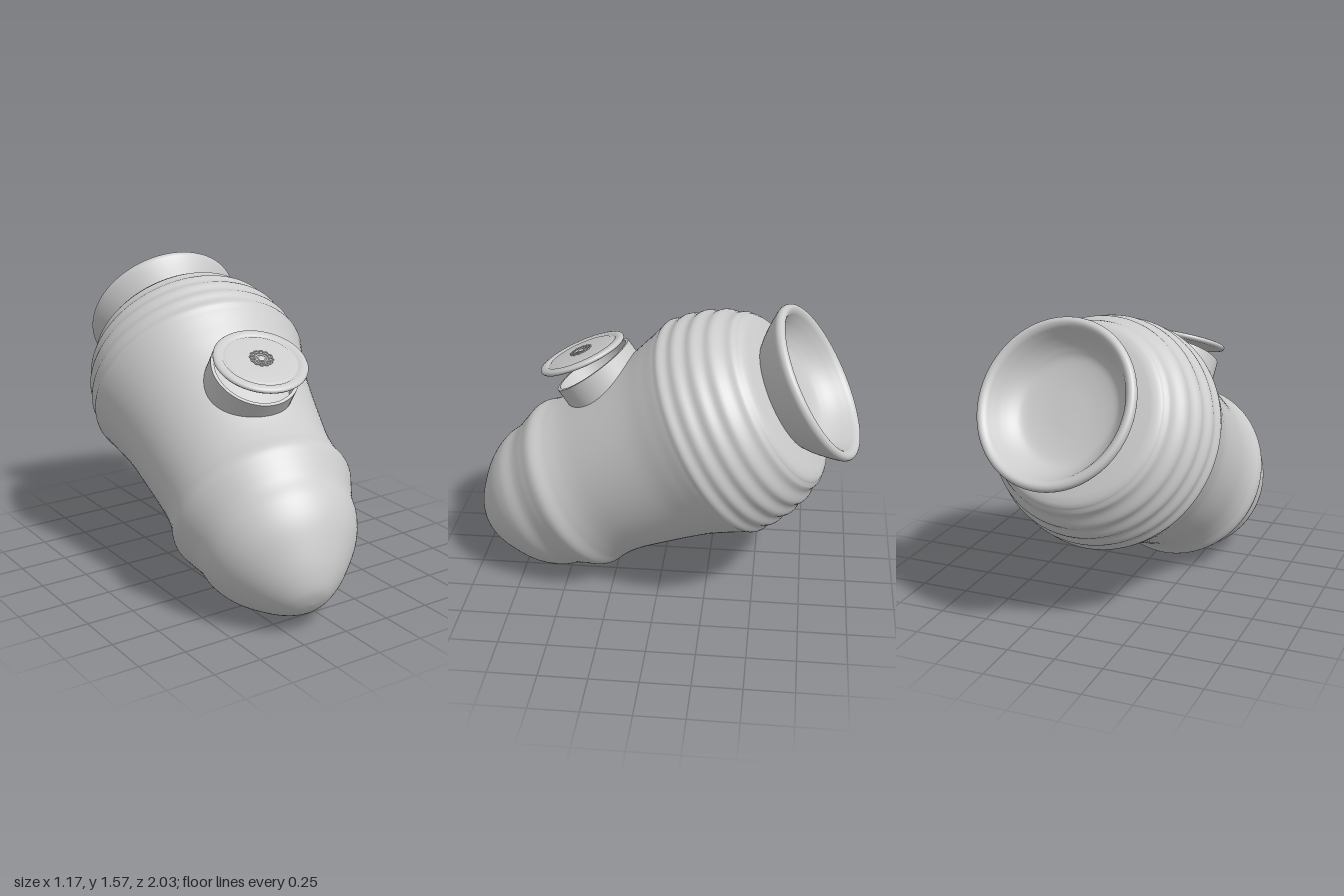
import * as THREE from 'three';

const material = new THREE.MeshStandardMaterial({ color: 0xcccccc });
const UP = new THREE.Vector3(0, 1, 0);

// Profiles are [radius, height] pairs
const toPoints = (pairs) => pairs.map(([r, h]) => new THREE.Vector2(r, h));
const smooth = (pairs, n) => {
  const pts = new THREE.SplineCurve(toPoints(pairs)).getPoints(n);
  pts.forEach((p) => { p.x = Math.max(0, p.x); });
  return pts;
};

function add(parent, name, geometry) {
  const mesh = new THREE.Mesh(geometry, material);
  mesh.name = name;
  parent.add(mesh);
  return mesh;
}

// A group whose own y axis points along the given direction
function alignedGroup(name, position, direction) {
  const group = new THREE.Group();
  group.name = name;
  group.position.set(...position);
  group.quaternion.setFromUnitVectors(UP, new THREE.Vector3(...direction).normalize());
  return group;
}

export function createModel() {
  const model = new THREE.Group();
  model.name = 'tiltedJar';

  const jar = alignedGroup('jar', [-0.18, 0.175, 0.95], [0.122, 0.5, -0.857]);
  jar.scale.y = 1.008;
  model.add(jar);

  // Body: rounded nose, swollen band, widening barrel and ribbed shoulder
  const bodyProfile = smooth([
    [0, -0.02], [0.09, -0.005], [0.18, 0.05], [0.265, 0.13], [0.345, 0.225],
    [0.395, 0.325], [0.415, 0.42], [0.447, 0.5], [0.473, 0.575], [0.459, 0.66],
    [0.455, 0.76], [0.47, 0.9], [0.51, 1.165], [0.55, 1.32], [0.583, 1.44],
    [0.572, 1.54], [0.545, 1.65], [0.505, 1.74], [0.452, 1.82],
  ], 150);
  bodyProfile.forEach((p) => {
    if (p.y > 1.41 && p.y < 1.8) p.x += 0.006 * Math.cos((p.y - 1.44) * Math.PI * 2 / 0.09);
  });
  bodyProfile.push(...toPoints([[0.435, 1.833], [0.4, 1.84], [0.3, 1.85], [0.25, 1.855]]));
  add(jar, 'body', new THREE.LatheGeometry(bodyProfile, 96));

  // Flared mouth with a rolled lip and a shallow closed bowl
  add(jar, 'flaredMouth', new THREE.LatheGeometry(smooth([
    [0.285, 1.84], [0.325, 1.88], [0.365, 1.93], [0.4, 1.98], [0.417, 2.012],
    [0.412, 2.035], [0.392, 2.043], [0.37, 2.03], [0.352, 2.0], [0.325, 1.955],
    [0.29, 1.915], [0.24, 1.885], [0.13, 1.868], [0, 1.865],
  ], 80), 96));

  // Hollow collar of the side opening
  const collar = alignedGroup('sideOpening', [-0.105, 1.16, 0.37], [-0.06, 0.81, 0.58]);
  model.add(collar);
  const collarParts = [
    [[0.225, -0.2], [0.225, 0]],
    [[0.225, 0], [0.208, 0]],
    [[0.208, 0], [0.208, -0.2]],
  ];
  const collarNames = ['collarOuterWall', 'collarRim', 'collarInnerWall'];
  collarParts.forEach((pairs, i) => {
    add(collar, collarNames[i], new THREE.LatheGeometry(toPoints(pairs), 64));
  });

  // Ajar lid: rounded edge and an inset groove on top
  const lid = alignedGroup('lid', [-0.112, 1.215, 0.425], [-0.06, 0.91, 0.4]);
  model.add(lid);
  add(lid, 'lidDisc', new THREE.LatheGeometry(toPoints([
    [0, -0.015], [0.215, -0.015], [0.228, -0.011], [0.234, -0.003], [0.234, 0.004],
    [0.228, 0.011], [0.215, 0.015], [0.195, 0.015], [0.188, 0.008], [0.18, 0.008],
    [0.172, 0.013], [0.1, 0.016], [0, 0.017],
  ]), 72));

  // Small rosette in the middle of the lid
  const rosette = new THREE.Group();
  rosette.name = 'rosette';
  rosette.position.y = 0.017;
  lid.add(rosette);
  const petal = new THREE.TorusGeometry(0.011, 0.004, 6, 14).rotateX(Math.PI / 2);
  const count = 12;
  for (let i = 0; i < count; i++) {
    const a = (i / count) * Math.PI * 2;
    add(rosette, 'petal', petal).position.set(Math.cos(a) * 0.046, 0.002, Math.sin(a) * 0.046);
  }
  add(rosette, 'rosetteRing', new THREE.TorusGeometry(0.03, 0.005, 8, 32).rotateX(Math.PI / 2));
  add(rosette, 'rosetteCentre', new THREE.SphereGeometry(0.018, 16, 10).scale(1, 0.35, 1));

  return model;
}
